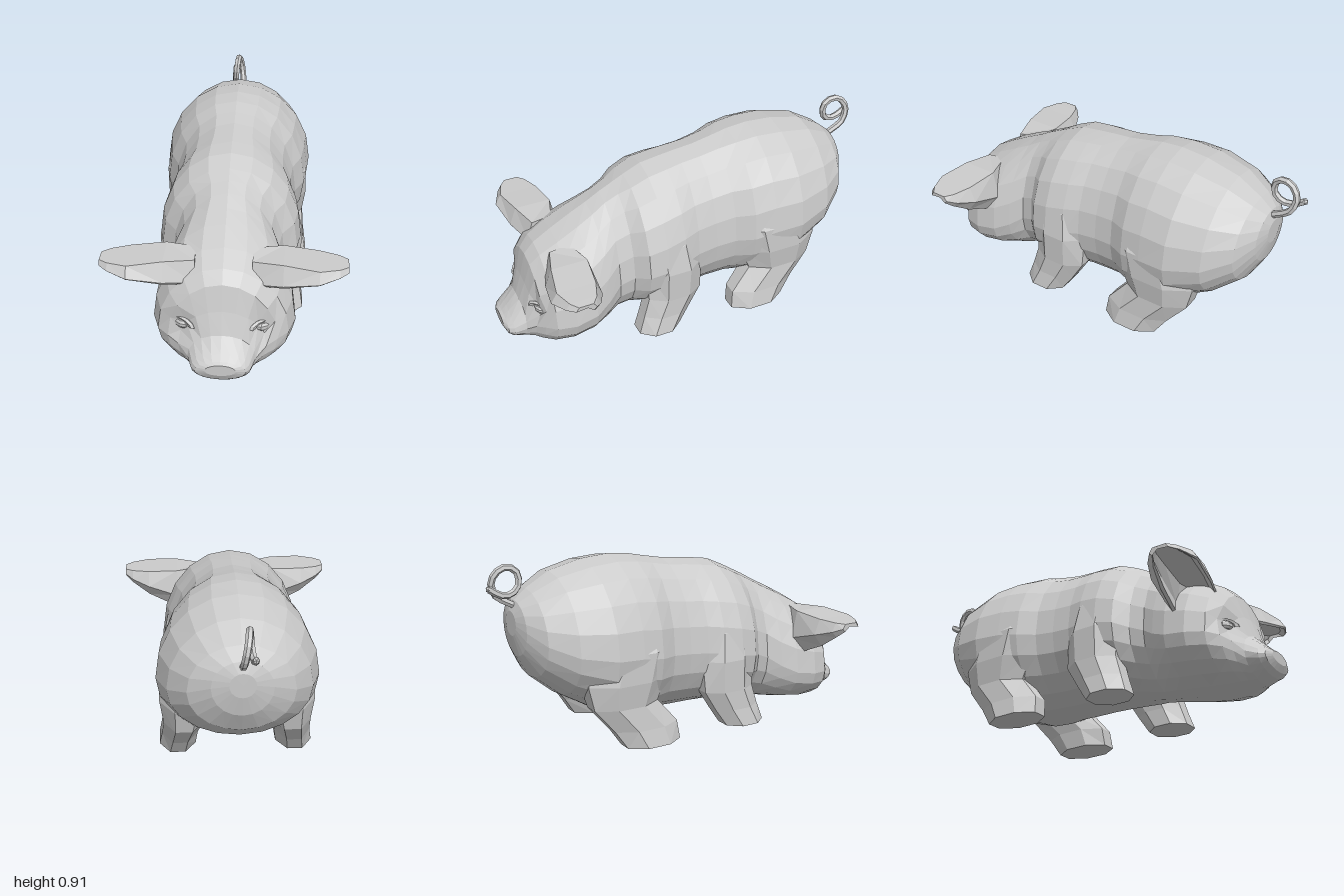
import * as THREE from 'three';

const grey = new THREE.MeshStandardMaterial({ color: 0xcccccc, flatShading: true });

// Skin a row of equal-length closed rings into a capped solid, facing outward
function loft(name, rings, parent) {
  const n = rings[0].length, tris = [];
  for (let i = 0; i < rings.length - 1; i++) {
    for (let j = 0; j < n; j++) {
      const k = (j + 1) % n, a = rings[i][j], b = rings[i][k], c = rings[i + 1][k], d = rings[i + 1][j];
      tris.push([a, b, c], [a, c, d]);
    }
  }
  const cap = (ring, flip) => {
    const mid = [0, 1, 2].map(q => ring.reduce((s, p) => s + p[q], 0) / n);
    ring.forEach((p, j) => {
      const next = ring[(j + 1) % n];
      tris.push(flip ? [mid, next, p] : [mid, p, next]);
    });
  };
  cap(rings[0], true);
  cap(rings[rings.length - 1], false);
  const v = tris.map(t => t.map(p => new THREE.Vector3(...p)));
  const volume = v.reduce((s, [a, b, c]) => s + a.dot(b.clone().cross(c)), 0);
  if (volume < 0) v.forEach(t => t.reverse());
  const geometry = new THREE.BufferGeometry().setFromPoints(v.flat());
  geometry.computeVertexNormals();
  const mesh = new THREE.Mesh(geometry, grey);
  mesh.name = name;
  parent.add(mesh);
}

// Upright body section of two half-ellipses, with the eye sockets pressed into the face
function bodyRing([z, bottom, top, half, mid]) {
  return Array.from({ length: 20 }, (_, i) => {
    const a = i / 20 * Math.PI * 2, c = Math.cos(a);
    const x = half * Math.sin(a), y = mid + c * (c > 0 ? top - mid : mid - bottom);
    const socket = z > 0.8 ? Math.exp(-(((Math.abs(x) - 0.19) / 0.08) ** 2) - ((y - 0.24) / 0.05) ** 2) : 0;
    return [x, y, z - 0.035 * socket];
  });
}

// Level eight-sided leg section filling the given bounds
function legRing([y, z0, z1, x0, x1], side) {
  return Array.from({ length: 8 }, (_, i) => {
    const a = (i + 0.5) / 8 * Math.PI * 2, k = 0.5 / Math.cos(Math.PI / 8);
    return [side * ((x0 + x1) / 2 + (x1 - x0) * k * Math.cos(a)), y, (z0 + z1) / 2 + (z1 - z0) * k * Math.sin(a)];
  });
}

export function createModel() {
  const pig = new THREE.Group();
  pig.name = 'pig';

  // Body, head and snout: z, bottom, top, half width, height of widest point
  const sections = [
    [-0.87, 0.56, 0.68, 0.06, 0.62], [-0.85, 0.46, 0.73, 0.14, 0.6], [-0.79, 0.35, 0.78, 0.245, 0.55],
    [-0.67, 0.25, 0.85, 0.335, 0.5], [-0.5, 0.15, 0.89, 0.386, 0.47], [-0.36, 0.1, 0.9, 0.375, 0.46],
    [-0.25, 0.09, 0.89, 0.36, 0.44], [-0.16, 0.09, 0.87, 0.315, 0.43], [-0.06, 0.085, 0.85, 0.305, 0.42],
    [0.04, 0.085, 0.84, 0.31, 0.41], [0.12, 0.085, 0.83, 0.335, 0.4], [0.22, 0.08, 0.815, 0.348, 0.38],
    [0.31, 0.07, 0.775, 0.33, 0.36], [0.37, 0.06, 0.745, 0.27, 0.34], [0.44, 0.045, 0.71, 0.255, 0.31],
    [0.51, 0.035, 0.67, 0.29, 0.26], [0.59, 0.02, 0.63, 0.322, 0.22], [0.7, 0.005, 0.57, 0.33, 0.2],
    [0.79, 0, 0.515, 0.3, 0.19], [0.84, 0.005, 0.46, 0.25, 0.18], [0.87, 0.01, 0.34, 0.2, 0.16],
    [0.905, 0.015, 0.235, 0.155, 0.12], [0.96, 0.035, 0.175, 0.135, 0.1], [0.985, 0.055, 0.15, 0.115, 0.1],
    [1.0, 0.085, 0.14, 0.07, 0.11],
  ];
  loft('body', sections.map(bodyRing), pig);

  // Leg sections from the foot up: y, back z, front z, inner x, outer x
  const frontLeg = [
    [0.01, 0.15, 0.37, 0.18, 0.365], [0.1, 0.09, 0.34, 0.18, 0.35], [0.2, 0.03, 0.31, 0.17, 0.348],
    [0.36, 0.02, 0.31, 0.12, 0.352], [0.5, 0.04, 0.32, 0.1, 0.325], [0.63, 0.1, 0.36, 0.06, 0.22],
  ];
  const hindLeg = [
    [0.01, -0.43, -0.14, 0.2, 0.38], [0.1, -0.49, -0.15, 0.19, 0.365], [0.22, -0.59, -0.25, 0.16, 0.355],
    [0.34, -0.62, -0.2, 0.12, 0.372], [0.48, -0.58, -0.17, 0.1, 0.37], [0.64, -0.5, -0.2, 0.06, 0.27],
  ];

  // Ear stations along x: front lip, top front, top back, back low, back lip as [z, y]
  const ear = [
    [0.13, [[0.78, 0.43], [0.75, 0.53], [0.65, 0.545], [0.62, 0.42], [0.64, 0.31]]],
    [0.27, [[0.825, 0.45], [0.79, 0.54], [0.61, 0.54], [0.58, 0.4], [0.63, 0.31]]],
    [0.43, [[0.85, 0.48], [0.82, 0.53], [0.63, 0.53], [0.6, 0.45], [0.65, 0.385]]],
    [0.52, [[0.81, 0.495], [0.79, 0.526], [0.66, 0.526], [0.64, 0.48], [0.67, 0.45]]],
    [0.56, [[0.775, 0.502], [0.76, 0.524], [0.69, 0.524], [0.675, 0.5], [0.69, 0.485]]],
  ];
  // Hollow hood: the outer arch returns as an inner arch drawn toward the opening
  const earRing = ([x, arch], side) => {
    const inner = arch.map(([z, y], i) => {
      const pull = i === 0 || i === 4 ? 0.12 : 0.3;
      return [z + (arch[0][0] - 0.06 - z) * pull, y + (arch[4][1] + 0.04 - y) * pull];
    }).reverse();
    return [...arch, ...inner].map(([z, y]) => [side * x, y, z]);
  };

  for (const side of [1, -1]) {
    const label = side > 0 ? 'left' : 'right';
    loft(label + 'FrontLeg', frontLeg.map(r => legRing(r, side)), pig);
    loft(label + 'HindLeg', hindLeg.map(r => legRing(r, side)), pig);
    loft(label + 'Ear', ear.map(r => earRing(r, side)), pig);

    // Eye in its socket under a heavy lid
    const eye = new THREE.Group();
    eye.name = label + 'Eye';
    eye.position.set(side * 0.185, 0.25, 0.835);
    eye.rotation.y = side * 0.6;
    const ball = new THREE.Mesh(new THREE.SphereGeometry(0.03, 7, 5), grey);
    ball.name = 'eyeball';
    ball.scale.set(1.3, 0.75, 0.7);
    const lid = new THREE.Mesh(new THREE.TorusGeometry(0.045, 0.013, 5, 6, Math.PI), grey);
    lid.name = 'eyelid';
    lid.scale.set(1.3, 0.65, 0.9);
    eye.add(ball, lid);
    pig.add(eye);
  }

  // Curly tail
  const path = new THREE.CatmullRomCurve3([
    [0, 0.69, -0.82], [0, 0.72, -0.88], [0, 0.76, -0.94], [-0.01, 0.83, -0.962], [-0.02, 0.88, -0.932],
    [-0.025, 0.895, -0.887], [-0.03, 0.87, -0.845], [-0.035, 0.81, -0.838], [-0.04, 0.77, -0.875],
    [-0.045, 0.77, -0.93], [-0.045, 0.805, -0.987],
  ].map(p => new THREE.Vector3(...p)));
  const tail = new THREE.Mesh(new THREE.TubeGeometry(path, 18, 0.017, 6), grey);
  tail.name = 'tail';
  const tip = new THREE.Mesh(new THREE.IcosahedronGeometry(0.017, 0), grey);
  tip.name = 'tailTip';
  tip.position.copy(path.getPoint(1));
  pig.add(tail, tip);

  return pig;
}
